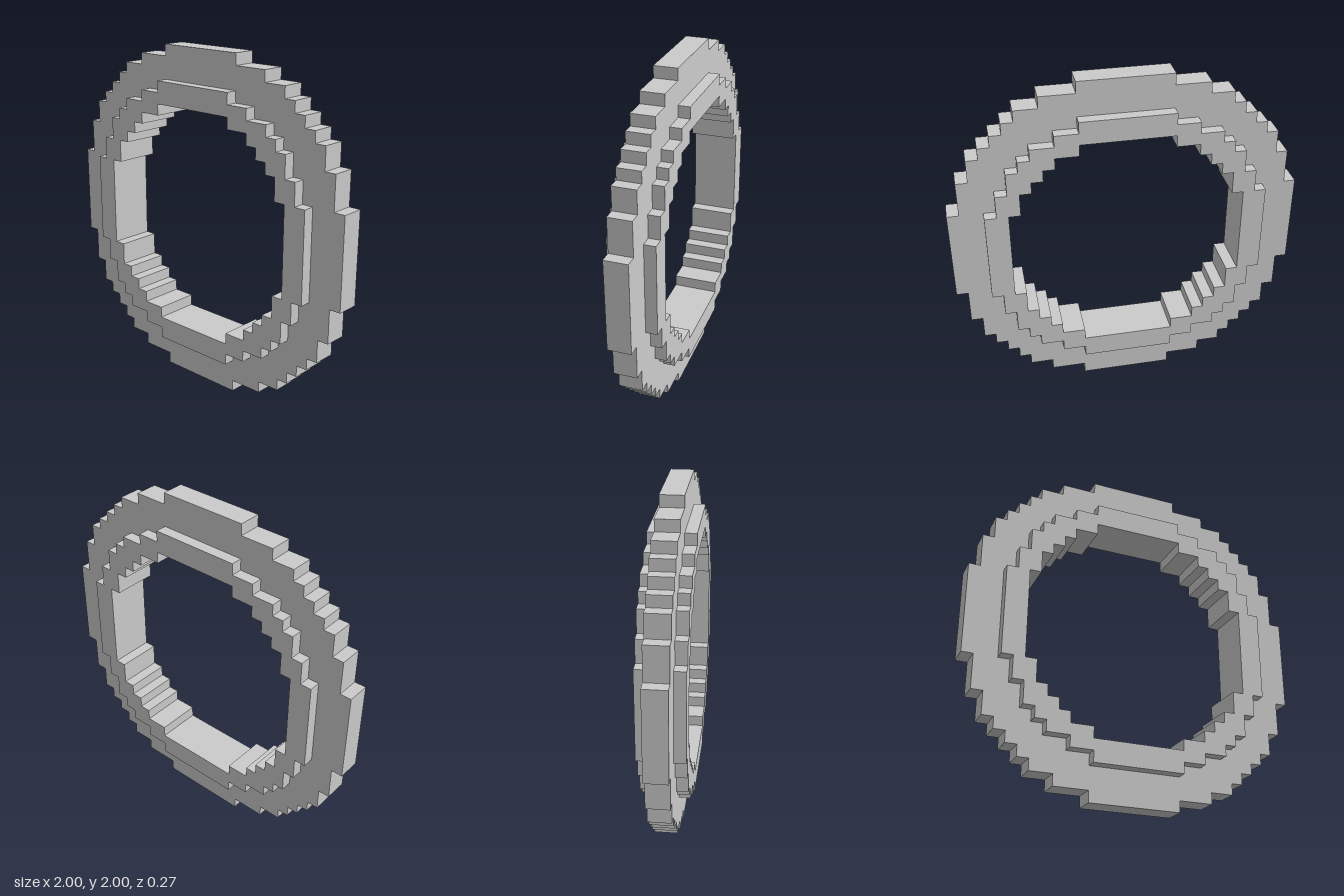
import * as THREE from 'three';

const UNIT = 2 / 30; // edge of one block

// Outer corners of each staircase in one quarter, in blocks from the centre
const OUTER = [[4, 15], [7, 14], [9, 13], [10, 12], [11, 11], [12, 10], [13, 9], [14, 7], [15, 4]];
const MIDDLE = [[4, 12], [6, 11], [8, 10], [9, 9], [10, 8], [11, 6], [12, 4]];
const INNER = [[4, 10], [6, 9], [7, 8], [8, 7], [9, 6], [10, 4]];

// Closed stepped outline, counterclockwise: one quarter turned four times
function steppedLoop(corners) {
  const quarter = [];
  corners.forEach(([x, y], i) => {
    quarter.push([x, y]);
    if (i < corners.length - 1) quarter.push([x, corners[i + 1][1]]);
  });
  const loop = [];
  for (let q = 0; q < 4; q++) {
    for (const [x, y] of quarter) {
      const [px, py] = [[x, y], [y, -x], [-x, -y], [-y, x]][q];
      loop.push(new THREE.Vector2(px * UNIT, py * UNIT));
    }
  }
  return loop.reverse();
}

// Flat stepped ring, centred in depth
function steppedRing(name, outside, hole, depth, material) {
  const shape = new THREE.Shape(steppedLoop(outside));
  shape.holes.push(new THREE.Path(steppedLoop(hole)));
  const geometry = new THREE.ExtrudeGeometry(shape, { depth: depth * UNIT, bevelEnabled: false });
  geometry.translate(0, 1, -depth * UNIT / 2);
  const mesh = new THREE.Mesh(geometry, material);
  mesh.name = name;
  return mesh;
}

export function createModel() {
  const material = new THREE.MeshStandardMaterial({ color: 0xcccccc, flatShading: true });
  const group = new THREE.Group();
  group.name = 'steppedRing';
  // Thin outer rim around a thicker inner band
  group.add(steppedRing('outerRim', OUTER, MIDDLE, 2, material));
  group.add(steppedRing('innerBand', MIDDLE, INNER, 4, material));
  return group;
}
